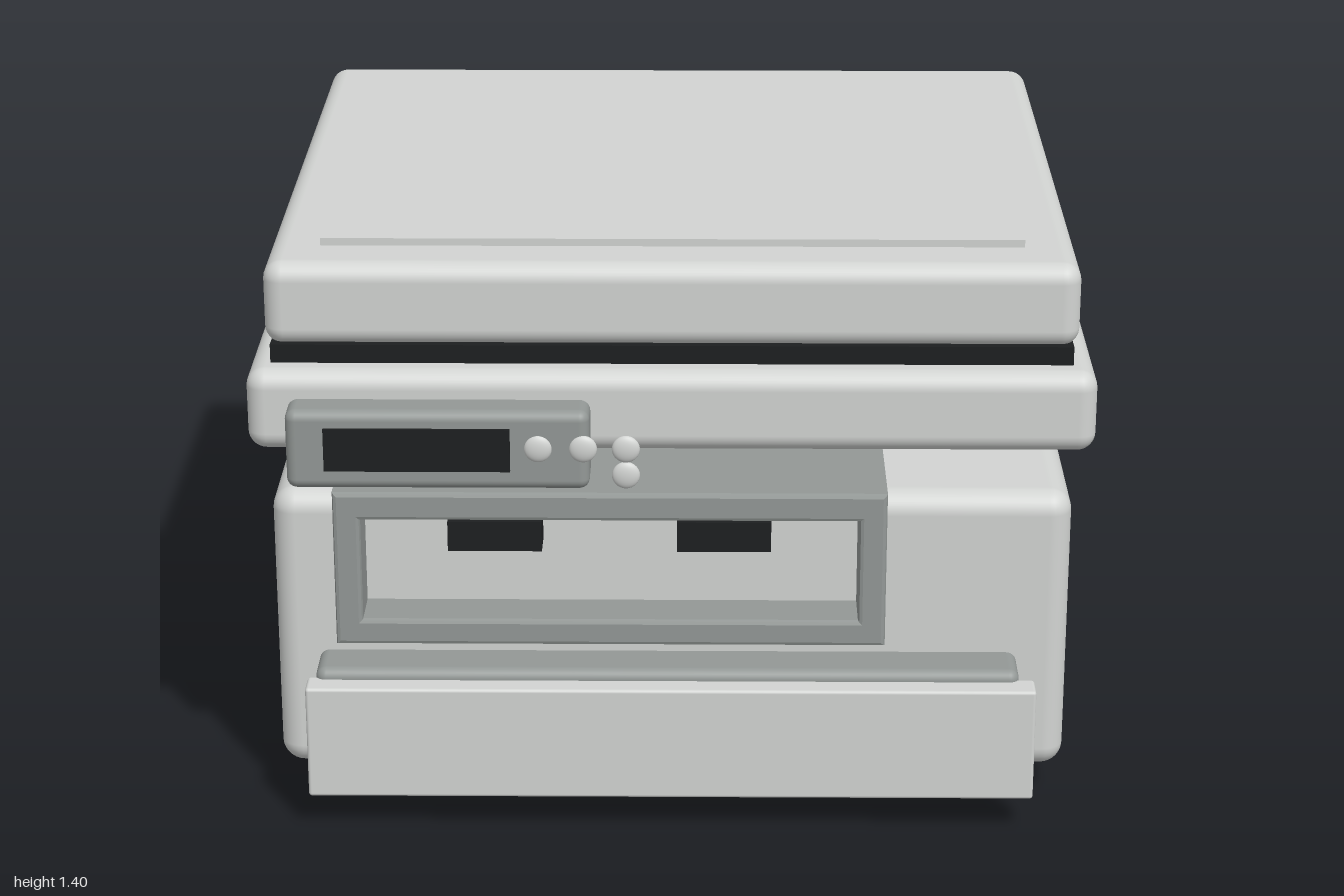
import * as THREE from 'three';
import { RoundedBoxGeometry } from 'three/addons/geometries/RoundedBoxGeometry.js';

export function createModel() {
  const model = new THREE.Group();
  model.name = 'deviceWithLid';

  const material = (name, color) => {
    const m = new THREE.MeshStandardMaterial({ color });
    m.name = name;
    return m;
  };
  const shell = material('light grey shell', 0xd2d4d2);
  const trim = material('mid grey trim', 0x939896);
  const black = material('black plastic', 0x1d1f20);

  const add = (name, geometry, mat, x = 0, y = 0, z = 0) => {
    const mesh = new THREE.Mesh(geometry, mat);
    mesh.name = name;
    mesh.position.set(x, y, z);
    model.add(mesh);
    return mesh;
  };
  // Box given by its limits on each axis; a radius rounds its edges
  const box = (name, mat, [x0, x1], [y0, y1], [z0, z1], r = 0) => {
    const size = [x1 - x0, y1 - y0, z1 - z0];
    const geometry = r ? new RoundedBoxGeometry(...size, 4, r) : new THREE.BoxGeometry(...size);
    return add(name, geometry, mat, (x0 + x1) / 2, (y0 + y1) / 2, (z0 + z1) / 2);
  };

  // Stacked housing
  box('body', shell, [-0.96, 0.96], [0.085, 0.81], [-0.965, 0.82], 0.055);
  box('middleDeck', shell, [-1, 1], [0.945, 1.145], [-0.965, 0.9], 0.045);
  box('gasket', black, [-0.945, 0.945], [1.135, 1.19], [-0.89, 0.83]);
  box('lid', shell, [-0.96, 0.96], [1.18, 1.385], [-0.925, 0.825], 0.045);
  box('lidPanel', shell, [-0.835, 0.835], [1.37, 1.403], [-0.8, 0.675]);

  // Rear hinges
  for (const x of [-0.615, 0.61])
    box('hinge', trim, [x - 0.1, x + 0.1], [1.1, 1.24], [-0.985, -0.87], 0.025);

  // Control pod with display and buttons
  box('controlPod', trim, [-0.9, -0.19], [0.885, 1.08], [0.865, 0.987], 0.025);
  box('display', black, [-0.81, -0.375], [0.935, 1.04], [0.97, 0.995]);
  for (const [x, y] of [[-0.31, 0.99], [-0.205, 0.99], [-0.105, 0.99], [-0.105, 0.925]])
    add('button', new THREE.SphereGeometry(0.033, 20, 14), shell, x, y, 0.985).scale.z = 0.4;

  // Front bay: deep frame around a recess
  const rect = (path, x0, x1, y0, y1) =>
    path.moveTo(x0, y0).lineTo(x1, y0).lineTo(x1, y1).lineTo(x0, y1).closePath();
  const b = 0.01;
  const frame = new THREE.Shape();
  rect(frame, -0.8 + b, 0.51 - b, 0.47 + b, 0.86 - b);
  const opening = new THREE.Path();
  rect(opening, -0.735 - b, 0.445 + b, 0.535 - b, 0.79 + b);
  frame.holes.push(opening);
  add('bayFrame', new THREE.ExtrudeGeometry(frame, {
    depth: 0.475 - 2 * b, bevelEnabled: true, bevelSize: b, bevelThickness: b, bevelSegments: 2,
  }), trim, 0, 0, 0.47 + b);
  for (const x of [-0.42, 0.125])
    box('bayLatch', black, [x - 0.112, x + 0.112], [0.695, 0.77], [0.8, 0.9]);

  // Front drawer
  box('drawerBase', trim, [-0.855, 0.835], [0.1, 0.4], [0.78, 0.94], 0.025);
  box('drawerFront', shell, [-0.875, 0.872], [0.09, 0.375], [0.922, 0.995], 0.008);

  // Side strips and feet
  for (const s of [-1, 1]) {
    box('sideStrip', trim, [s * 0.96 - 0.006, s * 0.96 + 0.006], [0.598, 0.62], [-0.835, 0.6]);
    for (const z of [0.6, -0.655])
      add('foot', new THREE.CylinderGeometry(0.073, 0.073, 0.052, 24), black, s * 0.735, 0.026, z);
  }

  // Rear service panel with rocker switch and vent slots
  box('rearPanel', trim, [-0.47, 0.79], [0.27, 0.73], [-0.985, -0.95], 0.008);
  box('switchLower', black, [0.44, 0.6], [0.4, 0.508], [-1, -0.975]);
  box('switchUpper', black, [0.44, 0.6], [0.512, 0.62], [-1, -0.975]);
  for (let row = 0; row < 5; row++) {
    for (let col = 0; col < 6; col++) {
      const x = -0.42 + col * 0.086, y = 0.662 - row * 0.045;
      box('ventSlot', black, [x - 0.033, x + 0.033], [y - 0.012, y + 0.012], [-0.998, -0.98]);
    }
  }

  return model;
}
